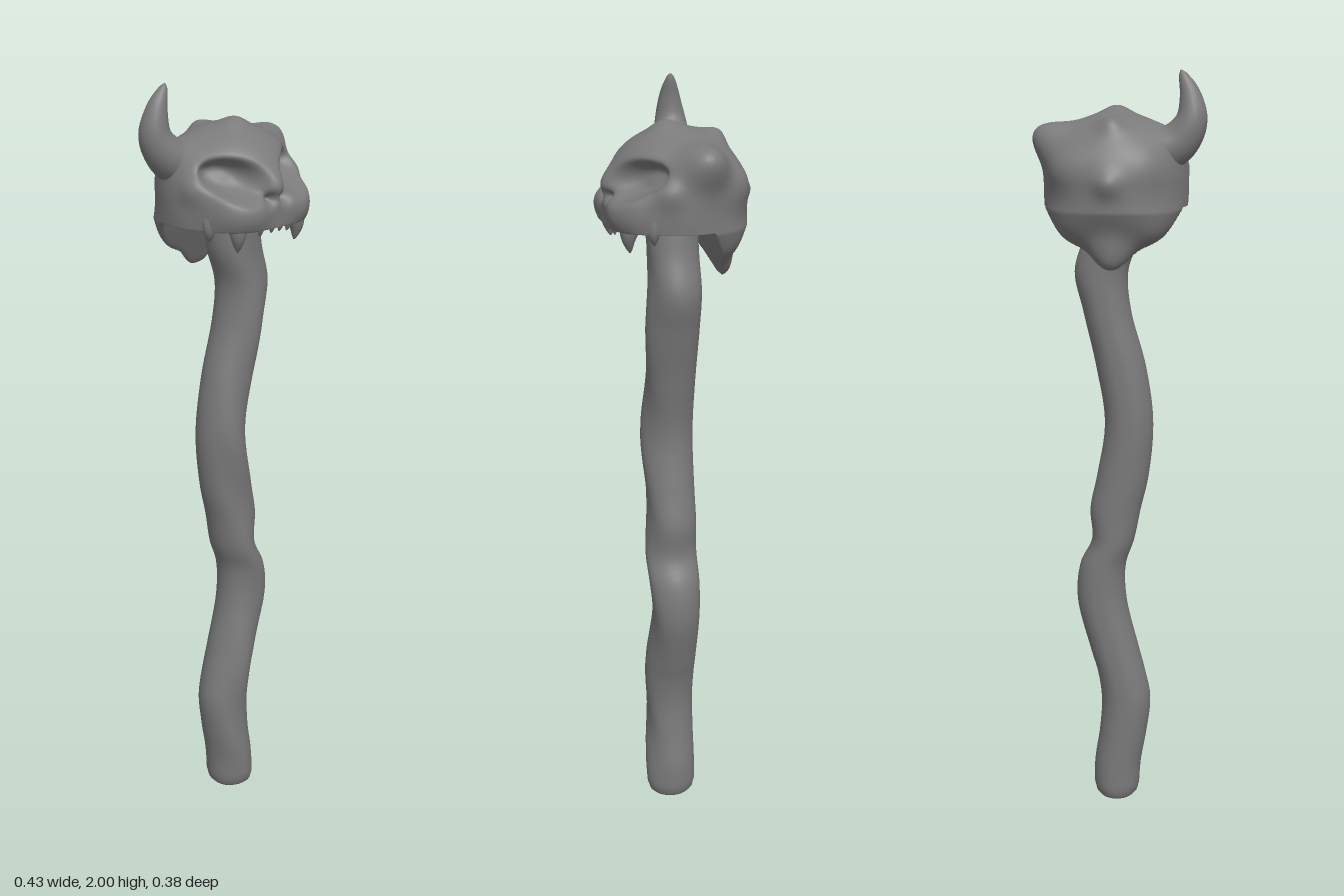
import * as THREE from 'three';
import { mergeVertices } from 'three/addons/utils/BufferGeometryUtils.js';

const material = new THREE.MeshStandardMaterial({ color: 0x7a7a7a });
const V = (x, y, z) => new THREE.Vector3(x, y, z);
const CENTRE = V(0.015, 1.735, 0);

// Moves every vertex by a rule, then welds seams for smooth normals.
function sculpt(geometry, rule) {
  geometry.deleteAttribute('uv');
  geometry.deleteAttribute('normal');
  const g = mergeVertices(geometry, 1e-5);
  const pos = g.attributes.position;
  const v = V(0, 0, 0);
  for (let i = 0; i < pos.count; i++) {
    rule(v.fromBufferAttribute(pos, i));
    pos.setXYZ(i, v.x, v.y, v.z);
  }
  g.computeVertexNormals();
  return g;
}

function addMesh(group, name, geometry) {
  const mesh = new THREE.Mesh(geometry, material);
  mesh.name = name;
  group.add(mesh);
}

// Tube along a curve that tapers to a point.
function taperedTube(points, radius, power, segments = 28, sides = 20) {
  const curve = new THREE.CatmullRomCurve3(points);
  const g = new THREE.TubeGeometry(curve, segments, 1, sides);
  const pos = g.attributes.position;
  const v = V(0, 0, 0);
  for (let i = 0; i < pos.count; i++) {
    const t = Math.floor(i / (sides + 1)) / segments;
    const c = curve.getPointAt(t);
    v.fromBufferAttribute(pos, i).sub(c).multiplyScalar(radius * Math.pow(1 - t, power) + 0.002).add(c);
    pos.setXYZ(i, v.x, v.y, v.z);
  }
  return sculpt(g, () => {});
}

// Crooked wooden shaft: unit lathe whose slices follow [height, centre x, half width].
function shaftGeometry() {
  const path = new THREE.CatmullRomCurve3([
    [0, 0.015, 0.062], [0.1, 0.012, 0.065], [0.2, -0.003, 0.066], [0.3, -0.011, 0.068], [0.38, 0.002, 0.066],
    [0.45, 0.021, 0.067], [0.6, 0.056, 0.067], [0.7, 0.052, 0.062], [0.77, 0.025, 0.057], [0.86, 0.018, 0.068],
    [0.95, -0.001, 0.069], [1.1, -0.018, 0.064], [1.25, 0.003, 0.065], [1.4, 0.04, 0.062], [1.5, 0.054, 0.069],
    [1.6, 0.026, 0.071], [1.76, 0.015, 0.06]].map(p => V(p[1], p[0], p[2])));
  const profile = [[0.001, 0], [0.6, 0], [0.8, 0.004], [0.93, 0.014], [1, 0.035]].map(p => new THREE.Vector2(...p));
  const rows = 110;
  for (let i = 1; i <= rows; i++) profile.push(new THREE.Vector2(1, 0.035 + 1.715 * i / rows));
  profile.push(new THREE.Vector2(0.001, 1.75));
  const samples = path.getPoints(400);
  return sculpt(new THREE.LatheGeometry(profile, 36), v => {
    const k = Math.max(1, samples.findIndex(s => s.y >= v.y));
    const a = samples[k - 1], b = samples[k];
    const s = a.clone().lerp(b, (v.y - a.y) / (b.y - a.y));
    const angle = Math.atan2(v.x, v.z);
    // shallow twisting grain on the front, flat back
    const grain = 1 + 0.08 * Math.sin(2 * angle + v.y * 19) * Math.max(0, v.z);
    v.x = s.x + v.x * s.z;
    v.z = Math.max(-0.055, 0.01 + v.z * 0.067 * grain);
  });
}

// Bumps and dents on the skull: [direction, height, spread]
const LUMPS = [
  // crest, back knob and nape spike
  [[0, 0.99, 0.14], 0.017, 0.2], [[0, 0.82, -0.57], 0.02, 0.18],
  [[0, 0.02, -1], 0.018, 0.18], [[0, -0.87, -0.49], 0.06, 0.24],
  // horn socket and broken horn stump
  [[-0.75, 0.58, -0.2], 0.022, 0.32], [[0.83, 0.54, -0.16], 0.062, 0.29],
  // nose bridge and uneven back
  [[0, 0.22, 0.97], 0.012, 0.22], [[0.66, 0.25, -0.71], 0.018, 0.32], [[-0.55, 0.3, -0.78], 0.006, 0.3],
];
for (const s of [-1, 1]) LUMPS.push(
  [[s * 0.62, -0.12, 0.78], 0.024, 0.32], [[s * 0.36, -0.15, 0.92], 0.012, 0.22],
  [[s * 0.92, 0.2, 0.33], 0.012, 0.2], [[s * 0.97, -0.15, 0.1], 0.006, 0.35],
  [[s * 0.13, 0.05, 0.99], -0.03, 0.085], [[s * 0.5, -0.7, -0.5], 0.02, 0.35]);
const lumps = LUMPS.map(([d, h, w]) => [V(...d).normalize(), h, w]);

function skullGeometry() {
  return sculpt(new THREE.SphereGeometry(1, 160, 120), v => {
    const d = v.clone().normalize();
    let r = 0.177;
    for (const [dir, h, w] of lumps) r += h * Math.exp(-d.distanceToSquared(dir) / (w * w));
    v.copy(d).multiplyScalar(r);
    if (d.y > 0) v.y *= 0.93;
    // eye sockets pressed straight back
    if (d.z > 0) {
      const ex = Math.abs(v.x) - 0.088, ey = v.y - 0.052 - 0.1 * ex;
      const e = (ex / 0.056) ** 2 + (ey / 0.042) ** 2;
      v.z -= 0.075 * Math.exp(-e * e) * Math.min(1, v.z / 0.08);
    }
    // upright jaw wall
    if (d.y < 0) {
      const k = Math.min(1 / Math.max(0.01, Math.hypot(d.x, d.z)), 1.08);
      v.x *= k;
      v.z *= k;
    }
    v.add(CENTRE);
    // open underside: level at the jaw, falling steeply to the nape
    const floor = 1.672 - Math.max(0, -0.05 - v.z) * 2.1;
    if (v.y < floor) {
      const q = Math.hypot(v.x - CENTRE.x, v.z) / 0.17;
      const inside = Math.max(0, 1 - q * q) * THREE.MathUtils.smoothstep(v.z, -0.06, 0.03);
      v.y = floor + 0.06 * Math.sqrt(inside);
    }
  });
}

export function createModel() {
  const model = new THREE.Group();
  model.name = 'skullStaff';
  addMesh(model, 'shaft', shaftGeometry());
  addMesh(model, 'skull', skullGeometry());

  // Single whole horn on the right
  addMesh(model, 'horn', taperedTube([
    V(-0.085, 1.8, -0.035), V(-0.145, 1.832, -0.04), V(-0.175, 1.88, -0.045),
    V(-0.172, 1.94, -0.042), V(-0.148, 2.0, -0.038)], 0.06, 0.65));

  // Upper teeth around the jaw: [angle from front, tip height, radius]
  const teeth = new THREE.Group();
  teeth.name = 'teeth';
  model.add(teeth);
  const row = [[0.08, 1.66, 0.016], [0.27, 1.655, 0.018], [0.6, 1.62, 0.036], [1.0, 1.645, 0.03]];
  for (const side of [-1, 1]) for (const [angle, tip, radius] of row) {
    const at = (rad, y) => V(CENTRE.x + side * Math.sin(angle) * rad, y, Math.cos(angle) * rad);
    addMesh(teeth, 'tooth', taperedTube(
      [at(0.155, 1.715), at(0.172, (1.7 + tip) / 2), at(0.168, tip)], radius, 0.8, 14, 14));
  }
  return model;
}
